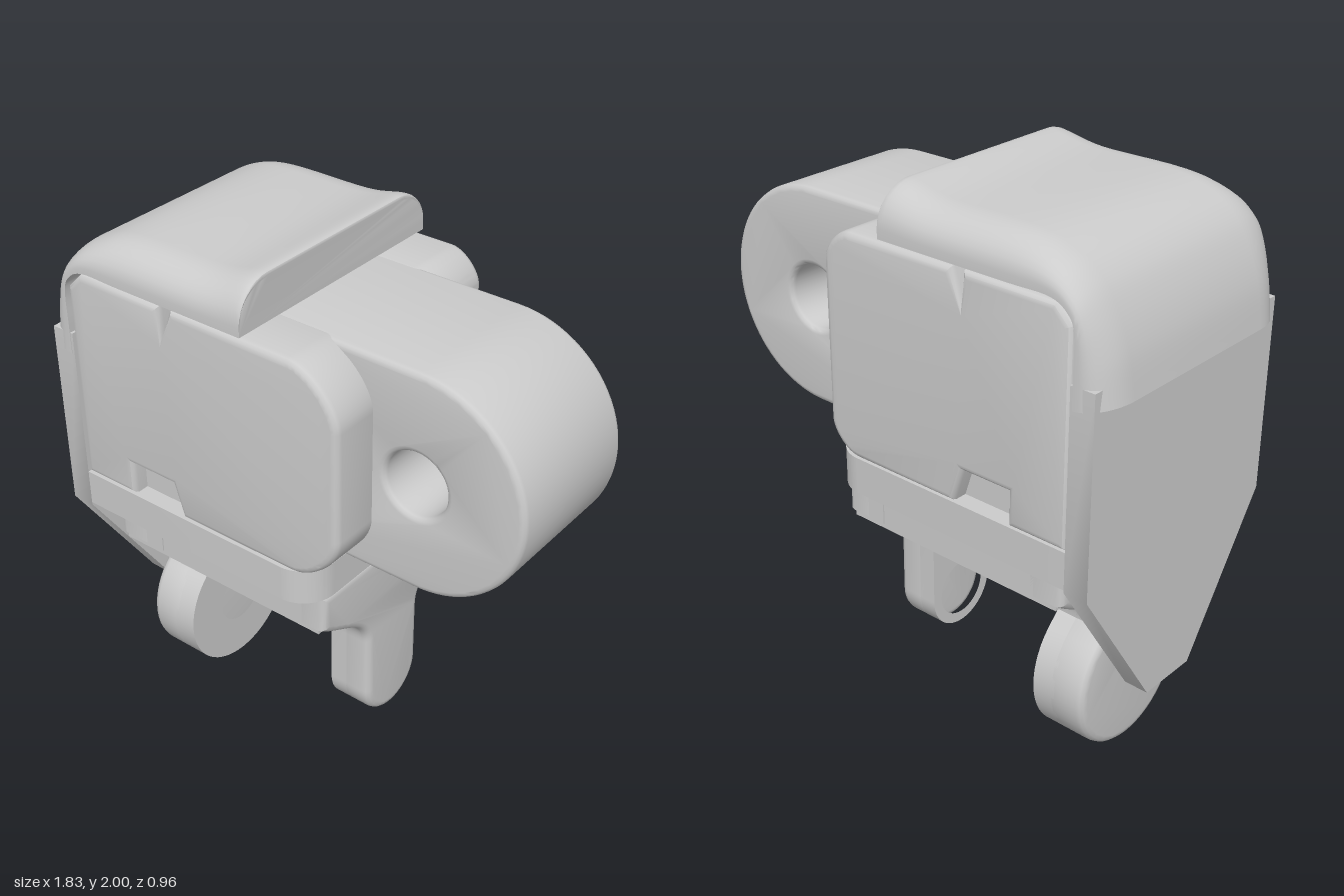
import * as THREE from 'three';
import { toCreasedNormals } from 'three/addons/utils/BufferGeometryUtils.js';

const material = new THREE.MeshStandardMaterial({ color: 0xcccccc });

function addPart(group, name, geometry, crease = 0.6) {
  const mesh = new THREE.Mesh(toCreasedNormals(geometry, crease), material);
  mesh.name = name;
  group.add(mesh);
}

// Extrude a shape from a to b, with edges rounded inside its outline
function slab(shape, a, b, bevel = 0) {
  const geometry = new THREE.ExtrudeGeometry(shape, {
    depth: b - a - 2 * bevel, curveSegments: 20, bevelEnabled: bevel > 0,
    bevelThickness: bevel, bevelSize: bevel, bevelOffset: -bevel, bevelSegments: 3,
  });
  return geometry.translate(0, 0, a + bevel);
}
const alongX = (...args) => slab(...args).rotateY(Math.PI / 2);
const alongY = (...args) => slab(...args).rotateX(-Math.PI / 2);

function polygon(points) {
  return new THREE.Shape(points.map(([x, y]) => new THREE.Vector2(x, y)));
}

function addHole(shape, x, y, r) {
  const hole = new THREE.Path();
  hole.absarc(x, y, r, 0, Math.PI * 2, true);
  shape.holes.push(hole);
  return shape;
}

// Side cover: soft nose, slot in the lower edge, wedge notch in the upper edge
function coverShape(right, c) {
  const lo = 1.015, hi = 1.82, k = 0.55 * c;
  const s = new THREE.Shape();
  s.moveTo(-0.79, lo);
  s.lineTo(-0.56, lo);
  s.lineTo(-0.56, 1.14);
  s.lineTo(-0.37, 1.14);
  s.lineTo(-0.33, lo);
  s.lineTo(right - c, lo);
  s.bezierCurveTo(right - k, lo, right, lo + k, right, lo + c);
  s.lineTo(right, hi - c);
  s.bezierCurveTo(right, hi - k, right - k, hi, right - c, hi);
  s.lineTo(-0.33, hi);
  s.lineTo(-0.37, 1.71);
  s.lineTo(-0.375, hi);
  s.lineTo(-0.73, hi);
  s.lineTo(-0.79, hi - 0.06);
  return s;
}

// Leg: wide shoulder flaring into a neck that ends in a round foot
function legShape(r, start) {
  const cy = 0.28, s = new THREE.Shape();
  s.moveTo(0.4, 0.885);
  s.lineTo(0.4, 0.74);
  s.bezierCurveTo(0.29, 0.66, 0.15, 0.64, 0.15, 0.52);
  s.lineTo(r * Math.cos(start), cy + r * Math.sin(start));
  s.absarc(0, cy, r, start, -Math.PI - start, true);
  s.lineTo(-0.15, 0.52);
  s.bezierCurveTo(-0.15, 0.64, -0.29, 0.66, -0.4, 0.74);
  s.lineTo(-0.4, 0.885);
  return s;
}

// Lid: rounded cross-sections lofted between an outer and an inner curve
function lidGeometry() {
  const spline = (pts) => new THREE.SplineCurve(pts.map(([x, y]) => new THREE.Vector2(x, y)));
  const outer = spline([[-0.92, 1.52], [-0.895, 1.66], [-0.85, 1.78], [-0.79, 1.87], [-0.7, 1.93],
    [-0.55, 1.966], [-0.22, 1.97], [-0.05, 2], [-0.03, 1.98]]);
  const inner = spline([[-0.8, 1.5], [-0.8, 1.62], [-0.8, 1.73], [-0.78, 1.79], [-0.71, 1.83],
    [-0.55, 1.83], [-0.22, 1.83], [-0.05, 1.83], [-0.03, 1.83]]);
  const half = 0.477, round = 0.14, section = [[half, 0]];
  for (let i = 0; i <= 8; i++) {
    const a = (i / 8) * Math.PI / 2;
    section.push([half - round + round * Math.cos(a), 0.2 + 0.8 * Math.sin(a)]);
  }
  section.push(...section.slice().reverse().map(([z, t]) => [-z, t]));

  const n = section.length, steps = 48, positions = [], index = [];
  for (let i = 0; i <= steps; i++) {
    const o = outer.getPoint(i / steps), p = inner.getPoint(i / steps);
    for (const [z, t] of section) {
      positions.push(p.x + (o.x - p.x) * t, p.y + (o.y - p.y) * t, z);
    }
  }
  for (let i = 0; i < steps; i++) {
    for (let j = 0; j < n; j++) {
      const a = i * n + j, b = i * n + (j + 1) % n;
      index.push(a, a + n, b, b, a + n, b + n);
    }
  }
  const end = steps * n;
  for (let j = 1; j < n - 1; j++) {
    index.push(0, j, j + 1, end, end + j + 1, end + j);
  }
  const geometry = new THREE.BufferGeometry();
  geometry.setAttribute('position', new THREE.Float32BufferAttribute(positions, 3));
  geometry.setIndex(index);
  return geometry;
}

export function createModel() {
  const model = new THREE.Group();
  model.name = 'hingeBracket';

  // Housing: core with a cover on each side
  addPart(model, 'housingCore', slab(polygon([[-0.79, 1], [0.05, 1], [0.05, 1.812],
    [-0.72, 1.812], [-0.79, 1.74]]), -0.41, 0.41));
  addPart(model, 'frontCover', slab(coverShape(0.345, 0.2), 0.25, 0.475, 0.025));
  addPart(model, 'backCover', slab(coverShape(0.22, 0.12), -0.478, -0.22, 0.025));

  // Round knuckle with a pin hole
  const knuckle = new THREE.Shape();
  knuckle.moveTo(-0.1, 1.015);
  knuckle.lineTo(0.508, 1.015);
  knuckle.absarc(0.508, 1.417, 0.402, -Math.PI / 2, Math.PI / 2, false);
  knuckle.lineTo(-0.1, 1.819);
  addPart(model, 'knuckle', slab(addHole(knuckle, 0.508, 1.417, 0.117), -0.262, 0.297, 0.022));

  // Base plate with rounded outer corners
  const base = new THREE.Shape();
  base.moveTo(-0.79, -0.475);
  base.lineTo(0.1, -0.475);
  base.absarc(0.1, -0.345, 0.13, -Math.PI / 2, 0, false);
  base.absarc(0.1, 0.345, 0.13, 0, Math.PI / 2, false);
  base.lineTo(-0.79, 0.475);
  addPart(model, 'basePlate', alongY(base, 0.88, 1.015));
  addPart(model, 'baseUnderside', alongY(polygon([[-0.7, -0.395], [0.2, -0.395],
    [0.2, 0.395], [-0.7, 0.395]]), 0.72, 0.89));

  // Legs: solid outer layer, inner layer with a blind pivot hole
  const legs = [
    ['leftLeg', 0.15, 0, [0.1, 0.23], [0.06, 0.13]],
    ['rightLeg', 0.276, 0.76, [-0.73, -0.57], [-0.61, -0.52]],
  ];
  for (const [name, r, start, solid, pierced] of legs) {
    const leg = new THREE.Group();
    leg.name = name;
    addPart(leg, 'legBody', alongX(legShape(r, start), ...solid, 0.028));
    addPart(leg, 'legPivotFace', alongX(addHole(legShape(r, start), 0, 0.28, 0.11), ...pierced));
    model.add(leg);
  }

  // Tapered back plate
  addPart(model, 'backPlate', alongX(polygon([[-0.117, 0.33], [0.117, 0.33], [0.475, 0.87],
    [0.475, 1.58], [-0.475, 1.58], [-0.475, 0.87]]), -0.88, -0.79));

  // Curved lid over the top and back
  addPart(model, 'lid', lidGeometry());
  return model;
}
